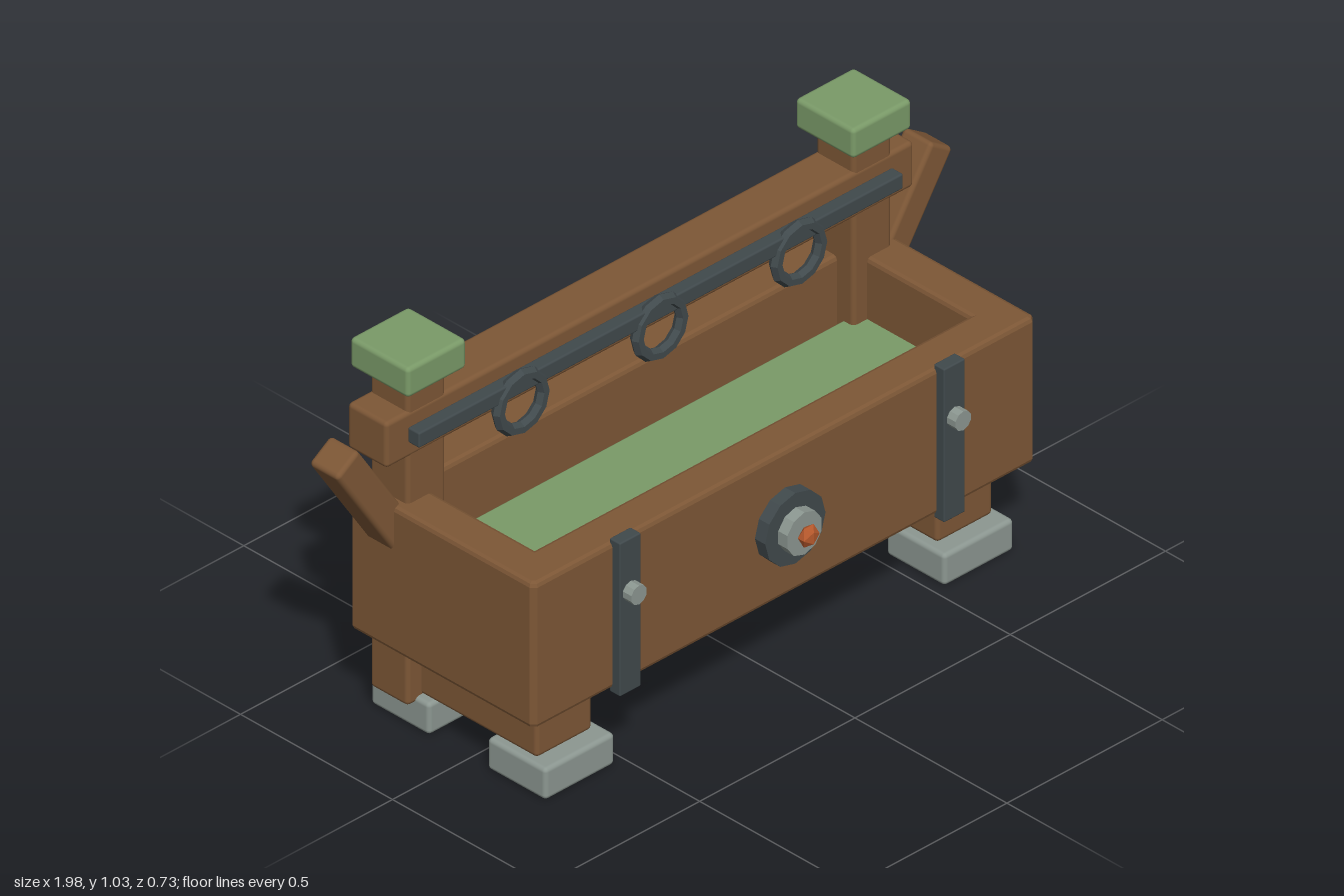
import * as THREE from 'three';
import { RoundedBoxGeometry } from 'three/addons/geometries/RoundedBoxGeometry.js';

const paint = (color, flatShading = false) => new THREE.MeshStandardMaterial({ color, flatShading });
const WOOD = paint(0x7d5736);
const GREEN = paint(0x7a9a68);
const IRON = paint(0x40494c);
const IRON_FLAT = paint(0x40494c, true);
const STONE = paint(0x8c9791);
const STONE_FLAT = paint(0x8c9791, true);
const COPPER = paint(0xb5582c, true);

export function createModel() {
  const model = new THREE.Group();
  model.name = 'trough';

  const add = (name, geometry, material, x = 0, y = 0, z = 0) => {
    const mesh = new THREE.Mesh(geometry, material);
    mesh.name = name;
    mesh.position.set(x, y, z);
    model.add(mesh);
    return mesh;
  };

  // Softened box given by its limits on each axis
  const block = (name, material, [x0, x1], [y0, y1], [z0, z1], radius = 0.012) =>
    add(name, new RoundedBoxGeometry(x1 - x0, y1 - y0, z1 - z0, 2, radius), material,
      (x0 + x1) / 2, (y0 + y1) / 2, (z0 + z1) / 2);

  // Disc with its axis along z
  const disc = (name, material, radius, sides, x, y, z0, z1) => {
    const geometry = new THREE.CylinderGeometry(radius, radius, z1 - z0, sides).rotateX(Math.PI / 2);
    return add(name, geometry, material, x, y, (z0 + z1) / 2);
  };

  // Rectangle outline with clipped corners
  const outline = (path, hx, hy, c) => path.setFromPoints([
    [hx - c, -hy], [hx, -hy + c], [hx, hy - c], [hx - c, hy],
    [-hx + c, hy], [-hx, hy - c], [-hx, -hy + c], [-hx + c, -hy],
  ].map(([x, y]) => new THREE.Vector2(x, y)));

  // Open wooden walls as one bevelled frame
  const bevel = 0.012;
  const frame = outline(new THREE.Shape(), 0.81 - bevel, 0.304 - bevel, 0.006);
  frame.holes.push(outline(new THREE.Path(), 0.70 + bevel, 0.195 + bevel, 0.001));
  const walls = new THREE.ExtrudeGeometry(frame, {
    depth: 0.40 - 2 * bevel, bevelEnabled: true, bevelSize: bevel, bevelThickness: bevel, bevelSegments: 2,
  });
  walls.translate(0, 0, bevel).rotateX(-Math.PI / 2);
  add('troughWalls', walls, WOOD, 0, 0.228, -0.034);

  // Floor and filling
  block('troughFloor', WOOD, [-0.71, 0.71], [0.21, 0.27], [-0.22, 0.149]);
  block('filling', GREEN, [-0.705, 0.705], [0.41, 0.46], [-0.21, 0.14], 0.005);

  // Rail across the posts, with its iron strip
  block('rail', WOOD, [-0.85, 0.85], [0.757, 0.883], [-0.303, -0.173]);
  block('railStrip', IRON, [-0.78, 0.78], [0.80, 0.842], [-0.175, -0.137], 0.005);

  // Hanging rings
  for (const x of [-0.447, 0, 0.447]) {
    add('ring', new THREE.TorusGeometry(0.072, 0.0165, 6, 12), IRON_FLAT, x, 0.775, -0.144);
  }

  for (const side of [-1, 1]) {
    const span = (a, b) => (side > 0 ? [a, b] : [-b, -a]);

    // Posts and caps
    block('post', WOOD, span(0.656, 0.78), [0.07, 0.97], [-0.30, -0.175]);
    block('postCap', GREEN, span(0.622, 0.812), [0.948, 1.03], [-0.334, -0.141]);

    // Skids and feet
    block('skid', WOOD, span(0.555, 0.735), [0.085, 0.214], [-0.275, 0.204]);
    block('frontFoot', STONE, span(0.53, 0.755), [0, 0.087], [0.06, 0.253]);
    block('backFoot', STONE, span(0.53, 0.755), [0, 0.087], [-0.323, -0.13]);

    // Slanted handle leaning out of the side wall
    const handle = add('handle', new RoundedBoxGeometry(0.084, 0.40, 0.096, 2, 0.012), WOOD,
      side * 0.849, 0.646, -0.237);
    handle.rotation.z = -side * 0.58;

    // Iron bands and bolt
    block('frontBand', IRON, span(0.488, 0.556), [0.216, 0.638], [0.26, 0.295], 0.004);
    block('backBand', IRON, span(0.488, 0.556), [0.216, 0.638], [-0.364, -0.329], 0.004);
    disc('bandBolt', STONE_FLAT, 0.026, 10, side * 0.522, 0.495, 0.29, 0.323);
  }

  // Round boss on the front with a copper stud
  disc('bossPlate', IRON_FLAT, 0.097, 12, 0, 0.43, 0.26, 0.304);
  disc('bossRing', STONE_FLAT, 0.058, 10, 0, 0.43, 0.30, 0.334);
  add('bossStud', new THREE.IcosahedronGeometry(0.03, 0), COPPER, 0, 0.43, 0.348).scale.z = 0.65;

  return model;
}
